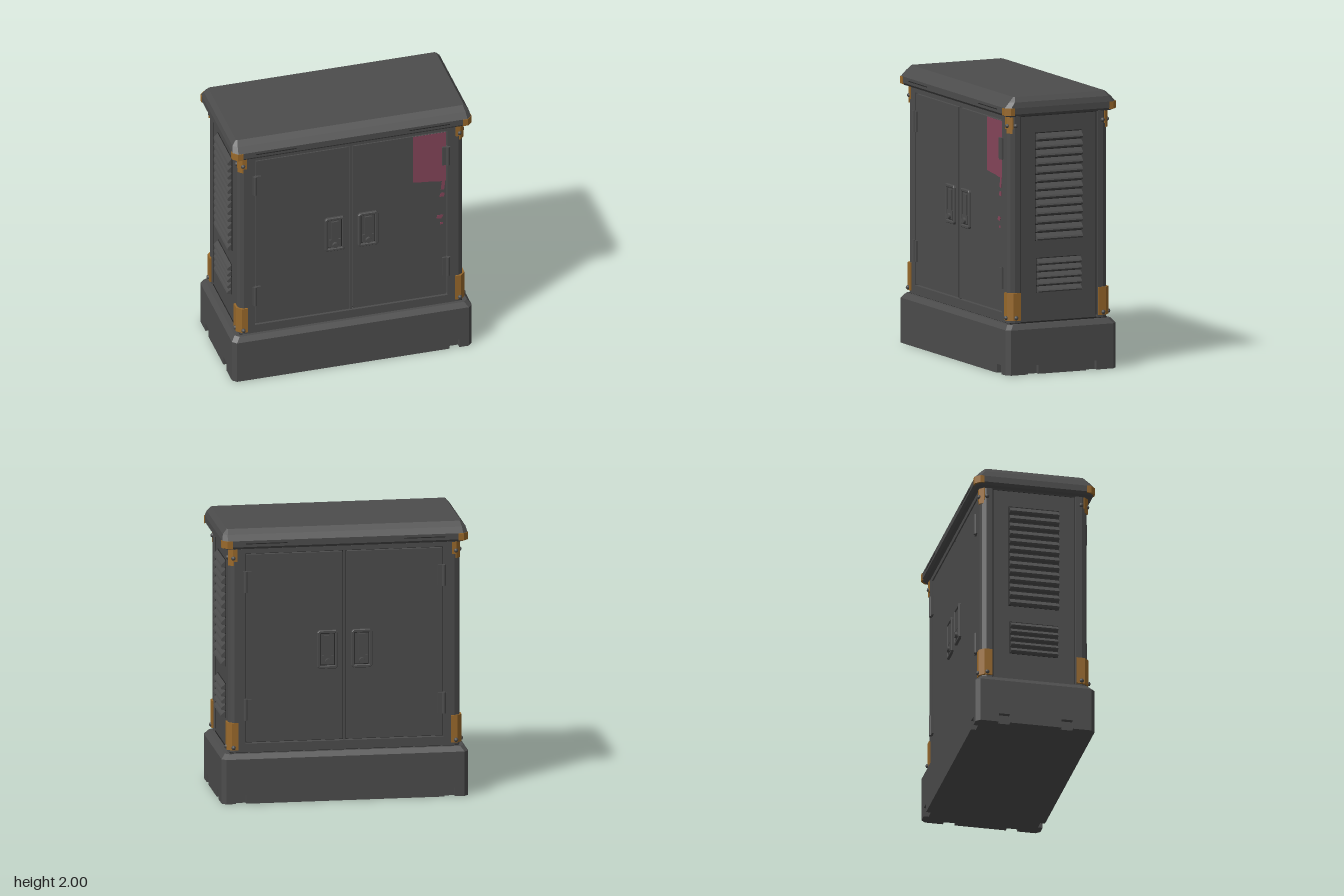
import * as THREE from 'three';

const mat = (name, color) => {
  const m = new THREE.MeshStandardMaterial({ color });
  m.name = name;
  return m;
};

export function createModel() {
  const grey = mat('cabinet grey', 0x4c4c4c);
  const dark = mat('seam black', 0x272727);
  const amber = mat('corner amber', 0x99692b);
  const pink = mat('faded pink', 0x85455a);

  const model = new THREE.Group();
  model.name = 'utilityCabinet';

  const add = (parent, name, geo, material, x = 0, y = 0, z = 0) => {
    const m = new THREE.Mesh(geo, material);
    m.name = name;
    m.position.set(x, y, z);
    parent.add(m);
    return m;
  };
  const box = (parent, name, material, x0, x1, y0, y1, z0, z1) =>
    add(parent, name, new THREE.BoxGeometry(x1 - x0, y1 - y0, z1 - z0), material,
      (x0 + x1) / 2, (y0 + y1) / 2, (z0 + z1) / 2);
  const shapeOf = (pts) => new THREE.Shape(pts.map(([x, y]) => new THREE.Vector2(x, y)));

  // Plan outline [x, z] raised from y0 to y1
  const prism = (pts, y0, y1) => {
    const g = new THREE.ExtrudeGeometry(shapeOf(pts.map(([x, z]) => [x, -z])),
      { depth: y1 - y0, bevelEnabled: false });
    return g.rotateX(-Math.PI / 2).translate(0, y0, 0);
  };
  // Quarter outline (side to front) mirrored into all four corners
  const fourfold = (q) => [[1, 1], [-1, 1], [-1, -1], [1, -1]].flatMap(([sx, sz]) => {
    const p = q.map(([x, z]) => [x * sx, z * sz]);
    return sx * sz > 0 ? p : p.reverse();
  });
  // Solid through cut-corner rectangles: levels of [y, halfX, halfZ, cut]
  const loft = (levels) => {
    const pos = [];
    const rings = levels.map(([y, hx, hz, c]) =>
      fourfold([[hx, hz - c], [hx - c, hz]]).map(([x, z]) => [x, y, z]));
    const tri = (a, b, c) => pos.push(...a, ...b, ...c);
    for (let i = 0; i < rings.length - 1; i++) {
      for (let j = 0; j < 8; j++) {
        const k = (j + 1) % 8, lo = rings[i], hi = rings[i + 1];
        tri(lo[j], hi[j], hi[k]);
        tri(lo[j], hi[k], lo[k]);
      }
    }
    const bottom = rings[0], top = rings[rings.length - 1];
    for (let j = 1; j < 7; j++) {
      tri(bottom[0], bottom[j], bottom[j + 1]);
      tri(top[0], top[j + 1], top[j]);
    }
    // Rings run clockwise seen from above, so flip every triangle if needed
    const g = new THREE.BufferGeometry();
    for (let t = 0; t < pos.length; t += 9) {
      for (let n = 0; n < 3; n++) {
        const s = pos[t + 3 + n];
        pos[t + 3 + n] = pos[t + 6 + n];
        pos[t + 6 + n] = s;
      }
    }
    g.setAttribute('position', new THREE.Float32BufferAttribute(pos, 3));
    g.computeVertexNormals();
    return flipIfInward(g);
  };
  // Keeps the faces outward by checking the signed volume
  const flipIfInward = (g) => {
    const p = g.attributes.position, a = new THREE.Vector3(), b = a.clone(), c = a.clone();
    let vol = 0;
    for (let i = 0; i < p.count; i += 3) {
      a.fromBufferAttribute(p, i); b.fromBufferAttribute(p, i + 1); c.fromBufferAttribute(p, i + 2);
      vol += a.dot(b.cross(c));
    }
    if (vol < 0) {
      g.setIndex(Array.from({ length: p.count }, (_, i) => i - (i % 3) + (2 - (i % 3))));
      g.computeVertexNormals();
    }
    return g;
  };

  // Plinth: notched foot layer and chamfered block
  const notchX = (x, z) => [[x + 0.037, z], [x + 0.037, z * 0.92], [x - 0.037, z * 0.92], [x - 0.037, z]];
  const notchZ = (x, z) => [[x, z + 0.042], [x * 0.96, z + 0.042], [x * 0.96, z - 0.042], [x, z - 0.042]];
  add(model, 'plinthFoot', prism([
    [-0.86, 0.435], ...notchX(0.753, 0.435).reverse(), [0.86, 0.435], [0.89, 0.405],
    ...notchZ(0.89, 0.23), ...notchZ(0.89, -0.23), [0.89, -0.405], [0.86, -0.435],
    ...notchX(0.753, -0.435), ...notchX(-0.753, -0.435), [-0.86, -0.435], [-0.89, -0.405],
    ...notchZ(-0.89, -0.23).reverse(), ...notchZ(-0.89, 0.23).reverse(), [-0.89, 0.405],
  ], 0, 0.065), grey);
  add(model, 'plinth', loft([[0.065, 0.89, 0.435, 0.03], [0.325, 0.89, 0.435, 0.03],
    [0.36, 0.862, 0.408, 0.03]]), grey);

  // Body: rounded posts, recessed door bays and side panels
  const post = [[0.822, 0.3], [0.835, 0.305], [0.835, 0.35], [0.823, 0.379], [0.795, 0.392], [0.715, 0.392]];
  add(model, 'lowerRail', prism(fourfold(post), 0.366, 0.43), grey);
  add(model, 'bodyShell', prism(fourfold([...post, [0.715, 0.355]]), 0.43, 1.822), grey);
  add(model, 'upperRail', prism(fourfold(post), 1.822, 1.855), grey);
  box(model, 'lowerSeam', dark, -0.825, 0.825, 0.355, 0.37, -0.38, 0.38);
  box(model, 'upperSeam', dark, -0.825, 0.825, 1.85, 1.87, -0.38, 0.38);

  // Lid with sloped edges
  add(model, 'lid', loft([[1.862, 0.868, 0.42, 0.03], [1.88, 0.885, 0.437, 0.035],
    [1.925, 0.885, 0.437, 0.035], [1.965, 0.875, 0.4, 0.03], [2.0, 0.845, 0.362, 0.01]]), grey);

  // One door face, reused for front and back
  const makeDoorFace = (name) => {
    const face = new THREE.Group();
    face.name = name;
    box(face, 'doorBayShadow', dark, -0.714, 0.714, 0.431, 1.821, 0.35, 0.36);
    box(face, 'centreStrip', grey, -0.007, 0.007, 0.431, 1.821, 0.35, 0.382);
    for (const s of [-1, 1]) {
      const door = new THREE.Group();
      door.name = s > 0 ? 'leftDoor' : 'rightDoor';
      face.add(door);
      box(door, 'doorPanel', grey, s * 0.361 - 0.345, s * 0.361 + 0.345, 0.44, 1.812, 0.355, 0.387);
      box(door, 'lidGroove', dark, s * 0.57 - 0.15, s * 0.57 + 0.15, 1.9, 1.906, 0.43, 0.439);
      // Hinges
      for (const y of [1.615, 0.68]) {
        box(door, 'hingeLeaf', grey, s * 0.703 - 0.03, s * 0.703 + 0.03, y - 0.075, y + 0.075, 0.375, 0.402);
        add(door, 'hingePin', new THREE.CylinderGeometry(0.014, 0.014, 0.155, 10), grey, s * 0.715, y, 0.401);
      }
      // Recessed handle with lever and lock
      const cx = s * 0.123;
      const rim = shapeOf([[-0.06, -0.14], [0.06, -0.14], [0.075, -0.125], [0.075, 0.125],
        [0.06, 0.14], [-0.06, 0.14], [-0.075, 0.125], [-0.075, -0.125]]);
      rim.holes.push(shapeOf([[-0.054, -0.118], [-0.054, 0.118], [0.054, 0.118], [0.054, -0.118]]));
      add(door, 'handleRim', new THREE.ExtrudeGeometry(rim,
        { depth: 0.016, bevelSize: 0.004, bevelThickness: 0.004, bevelSegments: 1, bevelOffset: -0.004 }),
      grey, cx, 1.1, 0.386);
      box(door, 'handleShadow', dark, cx - 0.056, cx + 0.056, 0.98, 1.22, 0.384, 0.389);
      box(door, 'handleTray', grey, cx - 0.048, cx + 0.048, 0.988, 1.212, 0.384, 0.392);
      box(door, 'handleLever', grey, cx - 0.026, cx + 0.026, 1.055, 1.205, 0.39, 0.405);
      box(door, 'leverFoot', grey, cx - 0.042, cx + 0.042, 0.992, 1.055, 0.39, 0.403);
      add(door, 'lock', new THREE.CylinderGeometry(0.021, 0.024, 0.035, 14).rotateX(Math.PI / 2),
        grey, cx, 1.013, 0.402);
    }
    model.add(face);
    return face;
  };
  const front = makeDoorFace('frontDoors');
  makeDoorFace('backDoors').rotation.y = Math.PI;

  // Faded sticker on the front with flaked remnants
  const flakes = [
    [[0.46, 1.425], [0.54, 1.415], [0.6, 1.41], [0.66, 1.4], [0.704, 1.405], [0.704, 1.81], [0.46, 1.81]],
    [[0.665, 1.33], [0.69, 1.325], [0.7, 1.41], [0.675, 1.41]],
    [[0.655, 1.27], [0.69, 1.265], [0.692, 1.3], [0.665, 1.3]],
    [[0.632, 1.09], [0.67, 1.085], [0.685, 1.115], [0.64, 1.115]],
    [[0.66, 1.035], [0.68, 1.035], [0.68, 1.052], [0.66, 1.052]],
  ];
  for (const pts of flakes) {
    add(front, 'stickerFlake', new THREE.ExtrudeGeometry(shapeOf(pts), { depth: 0.003, bevelEnabled: false }),
      pink, 0, 0, 0.386);
  }

  // Louvred vents on both sides
  const slat = (w, h) => new THREE.ExtrudeGeometry(
    shapeOf([[0, h / 2], [0, -h / 2], [0.026, -h / 2], [0.034, -h * 0.28], [0.028, -h * 0.05]]),
    { depth: w, bevelEnabled: false }).translate(0, 0, -w / 2);
  const makeSide = (name) => {
    const side = new THREE.Group();
    side.name = name;
    for (const [y0, y1, w, n] of [[0.95, 1.73, 0.36, 13], [0.575, 0.825, 0.345, 5]]) {
      box(side, 'ventShadow', dark, 0.815, 0.826, y0, y1, -w / 2 - 0.004, w / 2 + 0.004);
      const step = (y1 - y0) / n;
      for (let i = 0; i < n; i++) {
        add(side, 'ventSlat', slat(w, step * 0.84), grey, 0.825, y0 + step * (i + 0.5), 0);
      }
    }
    for (const z of [-0.3, 0.3]) {
      box(side, 'panelSeam', dark, 0.818, 0.825, 0.385, 1.85, z - 0.004, z + 0.004);
    }
    model.add(side);
    return side;
  };
  makeSide('leftVents');
  makeSide('rightVents').rotation.y = Math.PI;

  // Corner guards and bolts
  const bolt = new THREE.SphereGeometry(0.016, 10, 8);
  const guard = (sx, sz, x0, x1, z0, z1, c) =>
    [[x0, z0], [x1, z0], [x1, z1 - c], [x1 - c, z1], [x0, z1]].map(([x, z]) => [x * sx, z * sz]);
  for (const sx of [-1, 1]) {
    for (const sz of [-1, 1]) {
      add(model, 'lowerCornerGuard', prism(guard(sx, sz, 0.768, 0.848, 0.308, 0.402, 0.035), 0.385, 0.585), amber);
      add(model, 'upperCornerGuard', prism(guard(sx, sz, 0.775, 0.838, 0.36, 0.398, 0.03), 1.765, 1.853), amber);
      add(model, 'upperGuardTip', prism(guard(sx, sz, 0.8, 0.838, 0.37, 0.398, 0.03), 1.735, 1.765), amber);
      add(model, 'lidCornerGuard', prism(guard(sx, sz, 0.815, 0.889, 0.375, 0.441, 0.036), 1.872, 1.925), amber);
      for (const [y, out] of [[0.405, 0.01], [1.79, 0]]) {
        add(model, 'frontBolt', bolt, grey, sx * 0.803, y, sz * (0.394 + out));
        add(model, 'sideBolt', bolt, grey, sx * (0.836 + out), y, sz * 0.345);
      }
    }
  }
  return model;
}
